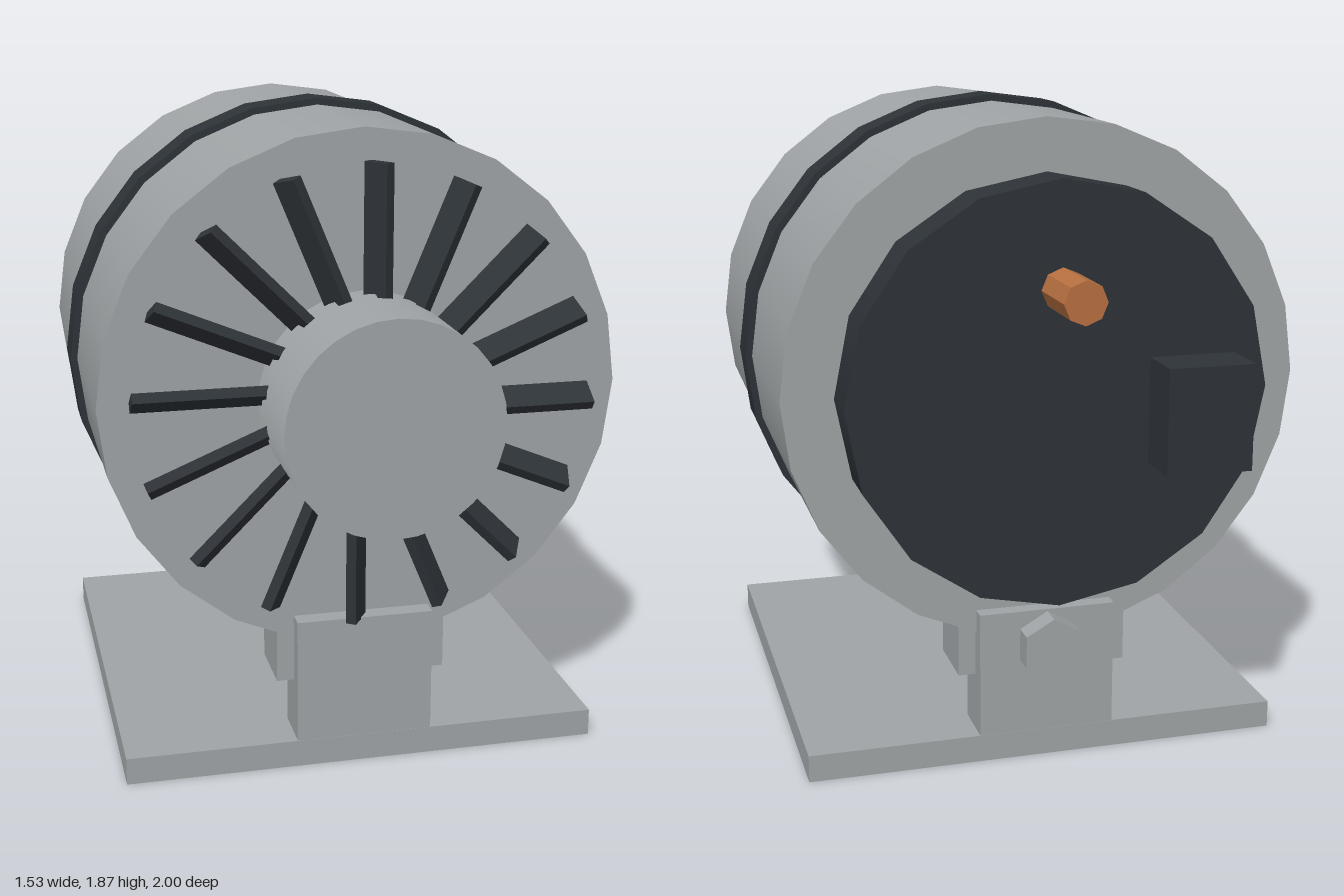
import * as THREE from 'three';
import { toCreasedNormals } from 'three/addons/utils/BufferGeometryUtils.js';

export function createModel() {
  const group = new THREE.Group();
  group.name = 'alternator';
  const material = (name, color) => {
    const m = new THREE.MeshStandardMaterial({ color });
    m.name = name;
    return m;
  };
  const steel = material('steel grey', 0xa0a4a6);
  const dark = material('dark plastic', 0x2e3338);
  const copper = material('copper', 0xb87040);
  const axisY = 1.1;

  function add(name, geometry, mat) {
    const mesh = new THREE.Mesh(geometry, mat);
    mesh.name = name;
    group.add(mesh);
    return mesh;
  }
  // Box given by its extents
  function box(name, mat, x0, x1, y0, y1, z0, z1) {
    const g = new THREE.BoxGeometry(x1 - x0, y1 - y0, z1 - z0);
    g.translate((x0 + x1) / 2, (y0 + y1) / 2, (z0 + z1) / 2);
    return add(name, g, mat);
  }
  // Cylinder lying along z
  function rod(name, mat, r, y, z0, z1, sides, flat = false) {
    let g = new THREE.CylinderGeometry(r, r, z1 - z0, sides);
    g.rotateX(Math.PI / 2);
    g.translate(0, y, (z0 + z1) / 2);
    if (flat) g = toCreasedNormals(g, 0.1);
    return add(name, g, mat);
  }

  // Housing, centre band and rear cover
  rod('housing', steel, 0.745, axisY, -0.65, 0.64, 24);
  rod('centreBand', dark, 0.765, axisY, -0.073, 0.063, 24);
  rod('rearCover', dark, 0.597, axisY, -0.803, -0.65, 16);

  // Rear terminal and connector
  rod('terminal', copper, 0.06, 1.4, -1, -0.8, 8, true);
  box('connector', dark, -0.5, -0.253, 0.9, 1.2, -0.95, -0.8);

  // Ribbed pulley
  const ribs = 7, pitch = 0.05, start = 0.65;
  const profile = [new THREE.Vector2(0, start), new THREE.Vector2(0.3, start)];
  for (let i = 0; i < ribs; i++) {
    profile.push(new THREE.Vector2(0.255, start + (i + 0.5) * pitch));
    profile.push(new THREE.Vector2(0.3, start + (i + 1) * pitch));
  }
  profile.push(new THREE.Vector2(0, start + ribs * pitch));
  const pulley = new THREE.LatheGeometry(profile, 32);
  pulley.rotateX(Math.PI / 2);
  add('pulley', toCreasedNormals(pulley, 0.5), steel).position.y = axisY;
  rod('pulleyHub', steel, 0.25, axisY, 0.63, 0.66, 24);

  // Ring of tilted fan blades
  const blade = new THREE.BoxGeometry(0.4, 0.03, 0.08);
  blade.rotateX(0.6);
  blade.translate(0.456, -0.028, 0.687);
  for (let i = 0; i < 16; i++) {
    const mesh = add('fanBlade', blade, dark);
    mesh.position.y = axisY;
    mesh.rotation.z = (i * Math.PI) / 8;
  }

  // Mounting base with front and rear supports
  box('basePlate', steel, -0.7, 0.7, 0, 0.08, -0.695, 0.695);
  for (const s of [1, -1]) {
    const span = (a, b) => (s > 0 ? [a, b] : [-b, -a]);
    box('bracketUpright', steel, -0.2, 0.2, 0.08, 0.45, ...span(0.548, 0.694));
    box('housingLug', steel, -0.25, 0.25, 0.25, 0.44, ...span(0.448, 0.64));
  }

  // Pivot bolt with hexagonal head
  rod('pivotBolt', steel, 0.047, 0.35, -0.7, 0.6, 16);
  rod('boltHead', steel, 0.094, 0.35, -0.76, -0.69, 6, true);

  return group;
}
